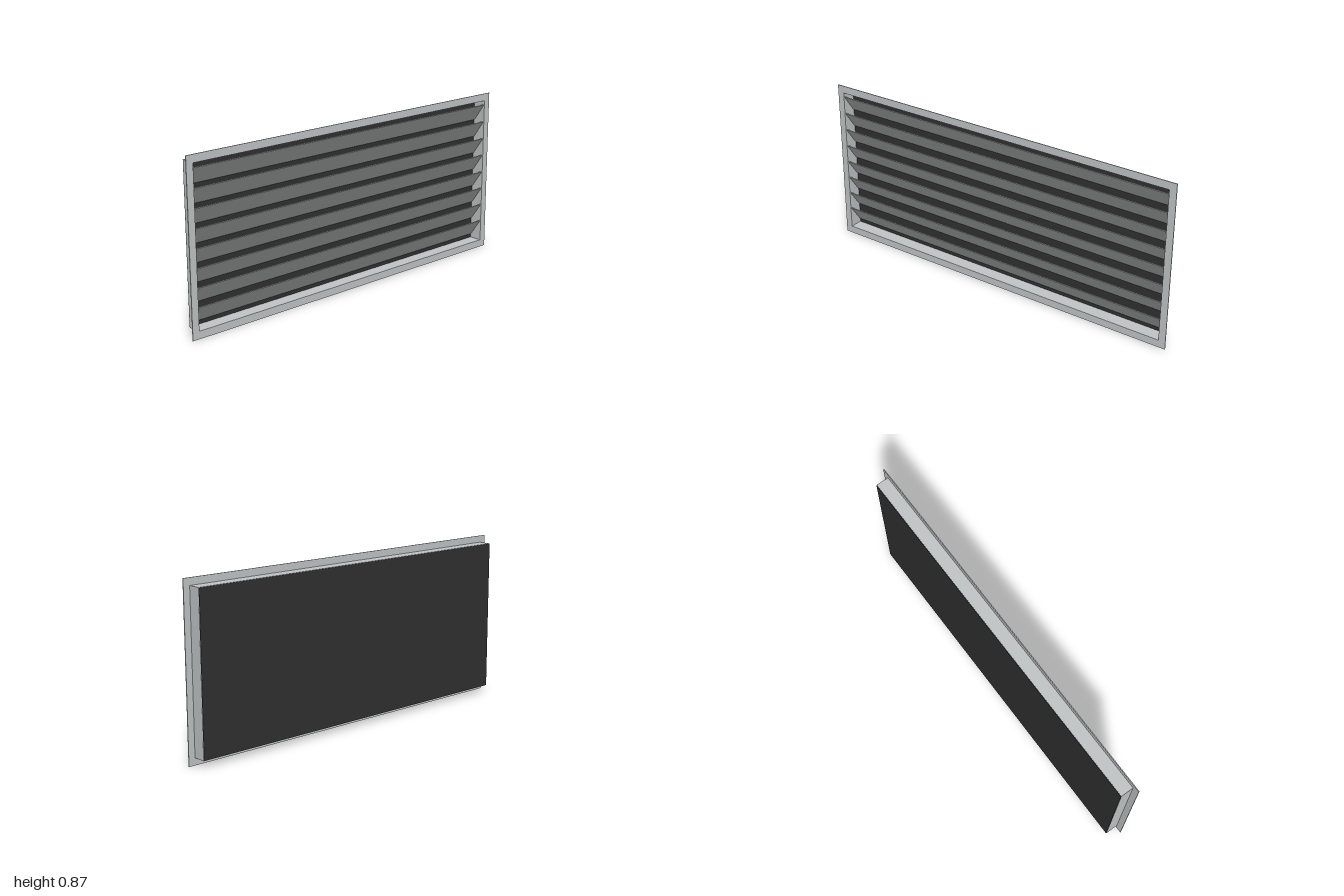
import * as THREE from 'three';

const HEIGHT = 0.868, MID = HEIGHT / 2;

// Rectangular ring centred on the origin, extruded along z
function frameGeometry(w, h, innerW, innerH, depth) {
  const rect = (Type, a, b) => new Type([
    new THREE.Vector2(-a / 2, -b / 2), new THREE.Vector2(a / 2, -b / 2),
    new THREE.Vector2(a / 2, b / 2), new THREE.Vector2(-a / 2, b / 2),
  ]);
  const shape = rect(THREE.Shape, w, h);
  shape.holes.push(rect(THREE.Path, innerW, innerH));
  return new THREE.ExtrudeGeometry(shape, { depth, bevelEnabled: false });
}

export function createModel() {
  const metal = new THREE.MeshStandardMaterial({ color: 0xc2c6c6 });
  metal.name = 'brushed metal';
  const dark = new THREE.MeshStandardMaterial({ color: 0x303030 });
  dark.name = 'dark backing';

  const group = new THREE.Group();
  group.name = 'ventGrille';
  const add = (name, geometry, material, y, z) => {
    const mesh = new THREE.Mesh(geometry, material);
    mesh.name = name;
    mesh.position.set(0, y, z);
    group.add(mesh);
    return mesh;
  };

  // Thin front flange and the sleeve behind it
  add('flange', frameGeometry(2, HEIGHT, 1.926, 0.79, 0.0045), metal, MID, 0.032);
  add('sleeve', frameGeometry(1.932, 0.796, 1.926, 0.79, 0.066), metal, MID, -0.034);

  // Dark plate closing the back
  add('backPlate', new THREE.BoxGeometry(1.93, 0.792, 0.0025), dark, MID, -0.03525);

  // Eight slanted blades, top edges leaning forward
  const blade = new THREE.BoxGeometry(1.926, 0.11, 0.004);
  const count = 8, pitch = 0.0935;
  for (let i = 0; i < count; i++) {
    const y = MID + (i - (count - 1) / 2) * pitch;
    add('blade' + (i + 1), blade, metal, y, 0).rotation.x = THREE.MathUtils.degToRad(35);
  }
  return group;
}
